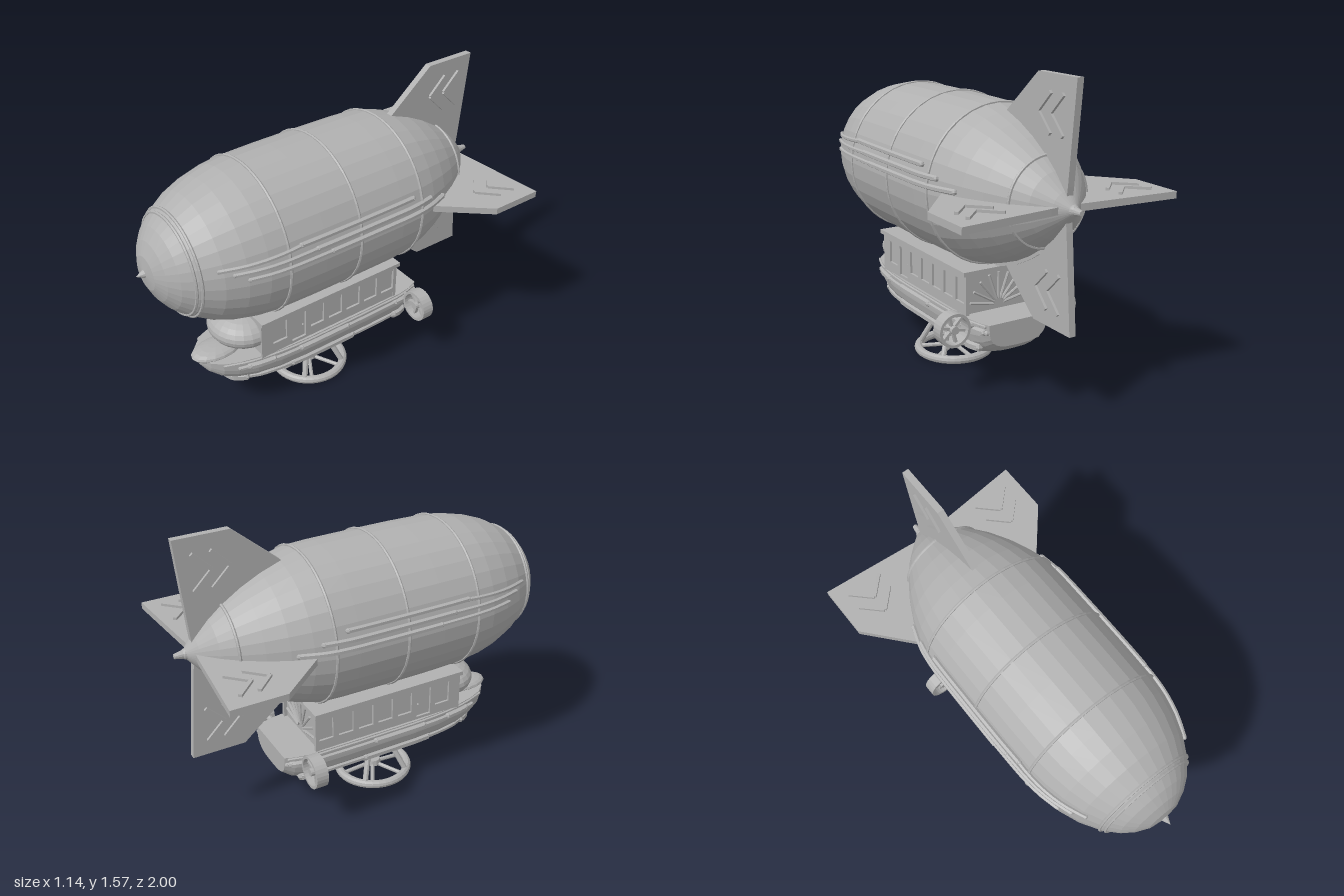
import * as THREE from 'three';

const grey = new THREE.MeshStandardMaterial({ color: 0xb0b0b0, flatShading: true });
grey.name = 'plain grey';
const V = (x, y, z) => new THREE.Vector3(x, y, z);
const AXIS_Y = 1.0; // height of the balloon axis

// balloon profile: [z, radius] from tail to nose
const profile = [[-0.95, 0.02], [-0.9, 0.08], [-0.83, 0.155], [-0.76, 0.213], [-0.66, 0.278], [-0.56, 0.328],
  [-0.46, 0.365], [-0.36, 0.39], [-0.24, 0.395], [0.02, 0.397], [0.22, 0.397], [0.42, 0.393], [0.52, 0.382],
  [0.62, 0.358], [0.72, 0.32], [0.82, 0.26], [0.88, 0.205], [0.92, 0.15], [0.95, 0.085], [0.96, 0.02]];

// gondola hull stations: [z, half width, bottom], bow to stern
const DECK = 0.375;
const stations = [[0.73, 0.03, 0.34], [0.7, 0.08, 0.3], [0.65, 0.125, 0.262], [0.58, 0.155, 0.23], [0.48, 0.18, 0.205],
  [0.35, 0.198, 0.188], [0.2, 0.205, 0.182], [-0.2, 0.205, 0.18], [-0.42, 0.2, 0.18], [-0.5, 0.185, 0.21], [-0.55, 0.165, 0.25]];

// linear lookup in a table keyed by its first column
function lookup(table, z, col) {
  const t = table[0][0] < table[1][0] ? table : [...table].reverse();
  if (z <= t[0][0]) return t[0][col];
  for (let i = 1; i < t.length; i++) {
    if (z <= t[i][0]) return THREE.MathUtils.mapLinear(z, t[i - 1][0], t[i][0], t[i - 1][col], t[i][col]);
  }
  return t[t.length - 1][col];
}
const balloonR = (z) => lookup(profile, z, 1);
const POW = 0.62; // squareness of the hull section
function hullX(z, y) {
  const s = Math.max(0, Math.min(1, (DECK - y) / (DECK - lookup(stations, z, 2))));
  return lookup(stations, z, 1) * Math.pow(1 - Math.pow(s, 2 / POW), POW / 2);
}

function add(parent, name, geometry, x = 0, y = 0, z = 0) {
  const m = new THREE.Mesh(geometry, grey);
  m.name = name;
  m.position.set(x, y, z);
  parent.add(m);
  return m;
}
// straight rod between two points
function rod(parent, name, a, b, r, sides = 10) {
  const m = add(parent, name, new THREE.CylinderGeometry(r, r, a.distanceTo(b), sides));
  m.position.copy(a).add(b).multiplyScalar(0.5);
  m.quaternion.setFromUnitVectors(V(0, 1, 0), b.clone().sub(a).normalize());
  return m;
}
// bent pipe with closed ends
function pipe(parent, name, pts, r) {
  add(parent, name, new THREE.TubeGeometry(new THREE.CatmullRomCurve3(pts), 24, r, 6));
  for (const p of [pts[0], pts[pts.length - 1]]) add(parent, name + 'End', new THREE.SphereGeometry(r, 6, 4), p.x, p.y, p.z);
}
// points spaced evenly in z between two ends
const sweep = (z0, z1, n, fn) => Array.from({ length: n + 1 }, (_, i) => fn(z0 + (z1 - z0) * i / n, i / n));

function buildBalloon(g) {
  const pts = [[-0.95, 0], ...profile, [0.96, 0]].map(([z, r]) => new THREE.Vector2(r, z));
  add(g, 'balloon', new THREE.LatheGeometry(pts, 32).rotateX(Math.PI / 2), 0, AXIS_Y);
  add(g, 'noseTip', new THREE.ConeGeometry(0.025, 0.05, 12).rotateX(Math.PI / 2), 0, AXIS_Y, 0.975);
  add(g, 'tailHub', new THREE.SphereGeometry(0.028, 12, 8), 0, AXIS_Y, -0.94);
  add(g, 'tailTip', new THREE.CylinderGeometry(0.024, 0.012, 0.06, 12).rotateX(Math.PI / 2), 0, AXIS_Y, -0.97);
  for (const z of [0.83, 0.808, 0.42, 0.02, -0.36, -0.76]) {
    add(g, 'balloonHoop', new THREE.TorusGeometry(balloonR(z), 0.008, 6, 48), 0, AXIS_Y, z);
  }
  // keel strips under the bow and stern
  for (const [z0, z1] of [[0.78, 0.32], [-0.38, -0.73]]) {
    sweep(z0, z1, 6, (z) => V(0, AXIS_Y - balloonR(z) - 0.006, z)).forEach((p, i, a) => {
      if (!i) return;
      const d = p.clone().sub(a[i - 1]);
      const m = add(g, 'keelStrip', new THREE.BoxGeometry(0.045, 0.018, d.length() + 0.004));
      m.position.copy(p).add(a[i - 1]).multiplyScalar(0.5);
      m.rotation.x = Math.atan2(-d.y, d.z);
    });
  }
  // three pipes along each flank
  for (const s of [1, -1]) {
    for (const [z0, z1, y0, y1] of [[0.74, -0.3, 1.095, 1.125], [0.68, -0.42, 1.07, 1.08], [0.62, -0.53, 1.037, 1.037]]) {
      const at = (z, t) => {
        const y = y0 + (y1 - y0) * Math.min(1, t * 2.5);
        return V(s * (Math.sqrt(balloonR(z) ** 2 - (y - AXIS_Y) ** 2) + 0.007), y, z);
      };
      pipe(g, 'flankPipe', sweep(z0, z1, 10, at), 0.011);
      pipe(g, 'flankPipeSleeve', sweep(z0 + (z1 - z0) * 0.37, z1, 6, (z) => at(z, 1)), 0.014);
    }
  }
}

function buildFins(g) {
  const outline = [[0.04, -0.5], [0.33, -0.41], [0.365, -0.45], [0.57, -0.69], [0.57, -0.963], [0.1, -0.92], [0.02, -0.91]];
  const shape = new THREE.Shape(outline.map(([r, z]) => new THREE.Vector2(r, z)));
  for (let k = 0; k < 4; k++) {
    const fin = new THREE.Group();
    fin.name = 'tailFin';
    fin.position.y = AXIS_Y;
    fin.rotation.z = k * Math.PI / 2;
    const plate = new THREE.ExtrudeGeometry(shape, { depth: 0.034, bevelEnabled: false });
    add(fin, 'finPlate', plate.translate(0, 0, -0.017).rotateX(Math.PI / 2));
    // forward-pointing chevrons raised on both faces
    for (const z of [-0.7, -0.79]) for (const s of [1, -1]) {
      const bar = add(fin, 'finChevron', new THREE.BoxGeometry(0.13, 0.06, 0.018), 0.4 + s * 0.046, 0, z - 0.046);
      bar.rotation.y = s * Math.PI / 4;
    }
    g.add(fin);
  }
}

function buildHull(g) {
  const N = 14, pos = [], idx = [];
  const [first, last] = [stations[0], stations[stations.length - 1]];
  const rows = [[first[0], 0.001, DECK - 0.001], ...stations, [last[0], 0.001, DECK - 0.001]];
  for (const [z, w, yb] of rows) for (let j = 0; j <= N; j++) {
    const t = Math.PI * j / N, c = Math.cos(t);
    pos.push(w * Math.sign(c) * Math.abs(c) ** POW, DECK - (DECK - yb) * Math.abs(Math.sin(t)) ** POW, z);
  }
  const M = N + 1;
  for (let i = 0; i < rows.length - 1; i++) for (let j = 0; j < M; j++) {
    const k = (j + 1) % M, a = i * M + j, b = i * M + k, c = b + M, d = a + M;
    idx.push(a, b, c, a, c, d);
  }
  const geo = new THREE.BufferGeometry();
  geo.setAttribute('position', new THREE.Float32BufferAttribute(pos, 3));
  geo.setIndex(idx);
  geo.computeVertexNormals();
  add(g, 'gondolaHull', geo);
  // side rails and bumpers: [z start, z end, height, radius]
  for (const s of [1, -1]) {
    for (const [z0, z1, y, r] of [[0.58, -0.54, 0.335, 0.012], [0.53, 0.4, 0.335, 0.018], [0.24, -0.05, 0.335, 0.018],
      [-0.38, -0.52, 0.335, 0.018], [0.65, -0.53, 0.365, 0.008], [0.58, -0.44, 0.238, 0.014], [0.6, 0.53, 0.238, 0.024],
      [0.28, -0.1, 0.238, 0.02], [-0.39, -0.46, 0.238, 0.024]]) {
      pipe(g, 'hullRail', sweep(z0, z1, 10, (z) => V(s * (hullX(z, y) + 0.004), y, z)), r);
    }
  }
  add(g, 'bowCap', new THREE.SphereGeometry(1, 16, 10).scale(0.085, 0.034, 0.14), 0, 0.378, 0.62);
}

function buildCabin(g) {
  add(g, 'cabinCore', new THREE.BoxGeometry(0.36, 0.21, 0.83), 0, 0.475, 0.045);
  add(g, 'cabinRoof', new THREE.BoxGeometry(0.42, 0.022, 0.87), 0, 0.587, 0.04);
  // side walls with recessed windows and a door
  const wall = new THREE.Shape([[-0.38, 0.36], [0.47, 0.36], [0.47, 0.58], [-0.38, 0.58]].map((p) => new THREE.Vector2(...p)));
  for (let i = 0; i < 7; i++) {
    const z = 0.36 - i * 0.115, y0 = i === 1 ? 0.39 : 0.43, w = 0.042;
    wall.holes.push(new THREE.Path([[z - w, y0], [z - w, 0.548], [z + w, 0.548], [z + w, y0]].map((p) => new THREE.Vector2(...p))));
  }
  const wallGeo = new THREE.ExtrudeGeometry(wall, { depth: 0.012, bevelEnabled: false }).rotateY(-Math.PI / 2);
  add(g, 'cabinWallLeft', wallGeo, 0.192);
  add(g, 'cabinWallRight', wallGeo, -0.18);
  for (const s of [1, -1]) {
    add(g, 'doorHandle', new THREE.SphereGeometry(0.006, 6, 4), s * 0.183, 0.46, 0.215);
    add(g, 'cornerPost', new THREE.BoxGeometry(0.02, 0.21, 0.02), s * 0.184, 0.475, -0.378);
  }
  // sunburst of bars on the rear wall
  for (let i = 0; i < 9; i++) {
    const a = Math.PI * (0.06 + 0.88 * i / 8), L = Math.min(0.165, 0.17 / Math.sin(a));
    const d = V(Math.cos(a), Math.sin(a), 0);
    rod(g, 'sunburstBar', V(0, 0.4, -0.375).addScaledVector(d, 0.03), V(0, 0.4, -0.375).addScaledVector(d, L), 0.007, 6);
  }
  add(g, 'cockpitBubble', new THREE.SphereGeometry(1, 24, 14).scale(0.187, 0.094, 0.175), 0, 0.48, 0.465);
}

function buildPropellers(g) {
  const ring = [[0.07, -0.032], [0.084, -0.032], [0.084, 0.032], [0.07, 0.032], [0.07, -0.032]].map((p) => new THREE.Vector2(...p));
  for (const s of [1, -1]) {
    const p = new THREE.Group();
    p.name = s > 0 ? 'propellerLeft' : 'propellerRight';
    p.position.set(s * 0.31, 0.357, -0.452);
    add(p, 'shroud', new THREE.LatheGeometry(ring, 28).rotateX(Math.PI / 2));
    add(p, 'hub', new THREE.CylinderGeometry(0.02, 0.02, 0.06, 12).rotateX(Math.PI / 2));
    for (let k = 0; k < 6; k++) {
      const a = k * Math.PI / 3 + 0.26;
      const blade = add(p, 'blade', new THREE.BoxGeometry(0.075, 0.013, 0.02), Math.cos(a) * 0.038, Math.sin(a) * 0.038);
      blade.rotation.z = a;
    }
    g.add(p);
    rod(g, 'propellerArm', V(s * 0.16, 0.35, -0.452), V(s * 0.23, 0.357, -0.452), 0.016, 8);
  }
}

function buildLandingRing(g) {
  const zc = 0.05;
  add(g, 'landingRing', new THREE.TorusGeometry(0.188, 0.022, 10, 36).rotateX(Math.PI / 2), 0, 0.024, zc);
  add(g, 'landingHub', new THREE.CylinderGeometry(0.04, 0.045, 0.03, 12), 0, 0.05, zc);
  for (let k = 0; k < 6; k++) {
    const a = k * Math.PI / 3 + Math.PI / 6;
    rod(g, 'landingSpoke', V(0, 0.038, zc), V(Math.cos(a) * 0.18, 0.026, zc + Math.sin(a) * 0.18), 0.011, 8);
  }
  for (const sx of [1, -1]) for (const sz of [1, -1]) {
    rod(g, 'landingLeg', V(sx * 0.138, 0.03, zc + sz * 0.125), V(sx * 0.065, 0.2, zc + sz * 0.06), 0.015);
  }
}

export function createModel() {
  const model = new THREE.Group();
  model.name = 'airship';
  for (const [name, build] of [['envelope', buildBalloon], ['fins', buildFins], ['gondola', buildHull],
    ['cabin', buildCabin], ['propellers', buildPropellers], ['landingGear', buildLandingRing]]) {
    const g = new THREE.Group();
    g.name = name;
    build(g);
    model.add(g);
  }
  return model;
}
